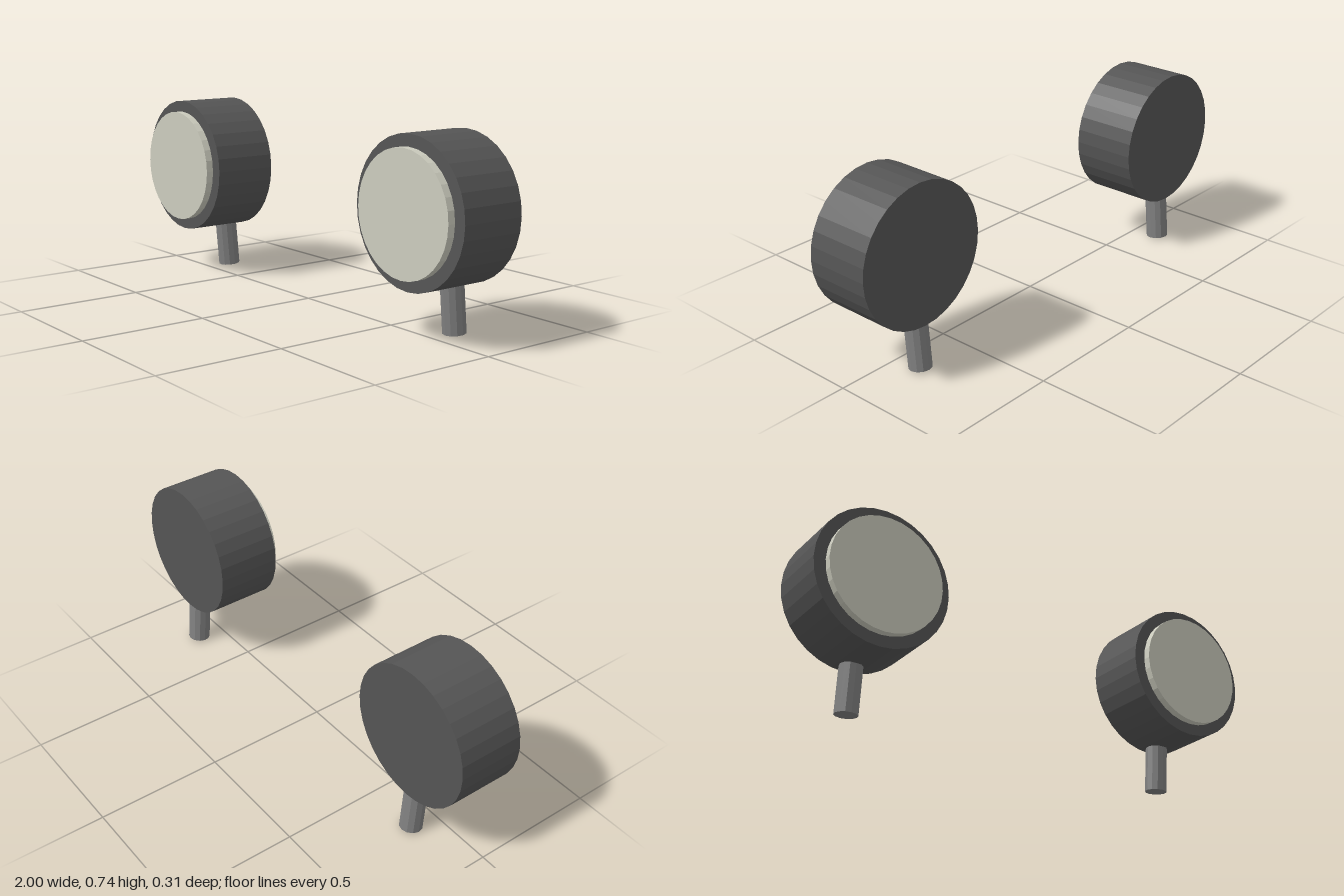
import * as THREE from 'three';

const housingMat = new THREE.MeshStandardMaterial({ color: 0x555555, flatShading: true });
housingMat.name = 'dark grey housing';
const lensMat = new THREE.MeshStandardMaterial({ color: 0xccccbe, flatShading: true });
lensMat.name = 'pale lens';
const stemMat = new THREE.MeshStandardMaterial({ color: 0x808080, flatShading: true });
stemMat.name = 'grey stem';

const CENTRE_Y = 0.463;

// Cylinder lying along z between two depths
function disc(name, radius, zBack, zFront, material) {
  const geometry = new THREE.CylinderGeometry(radius, radius, zFront - zBack, 32);
  geometry.rotateY(Math.PI / 2);
  geometry.rotateX(Math.PI / 2);
  const mesh = new THREE.Mesh(geometry, material);
  mesh.name = name;
  mesh.position.set(0, CENTRE_Y, (zBack + zFront) / 2);
  return mesh;
}

function createLamp(name, x) {
  const lamp = new THREE.Group();
  lamp.name = name;
  lamp.position.x = x;

  // Drum housing with a slightly raised lens in front
  lamp.add(disc('housing', 0.2765, -0.142, 0.122, housingMat));
  lamp.add(disc('lens', 0.231, 0.124, 0.154, lensMat));

  // Mounting stem, leaning forward as it rises into the housing
  const length = 0.24;
  const geometry = new THREE.CylinderGeometry(0.045, 0.045, length, 12);
  geometry.translate(0, length / 2, 0);
  const stem = new THREE.Mesh(geometry, stemMat);
  stem.name = 'stem';
  stem.position.set(0, 0.004, -0.107);
  stem.rotation.x = THREE.MathUtils.degToRad(5);
  lamp.add(stem);
  return lamp;
}

export function createModel() {
  const model = new THREE.Group();
  model.name = 'pairOfLamps';
  model.add(createLamp('leftLamp', 0.7235), createLamp('rightLamp', -0.7235));
  return model;
}
